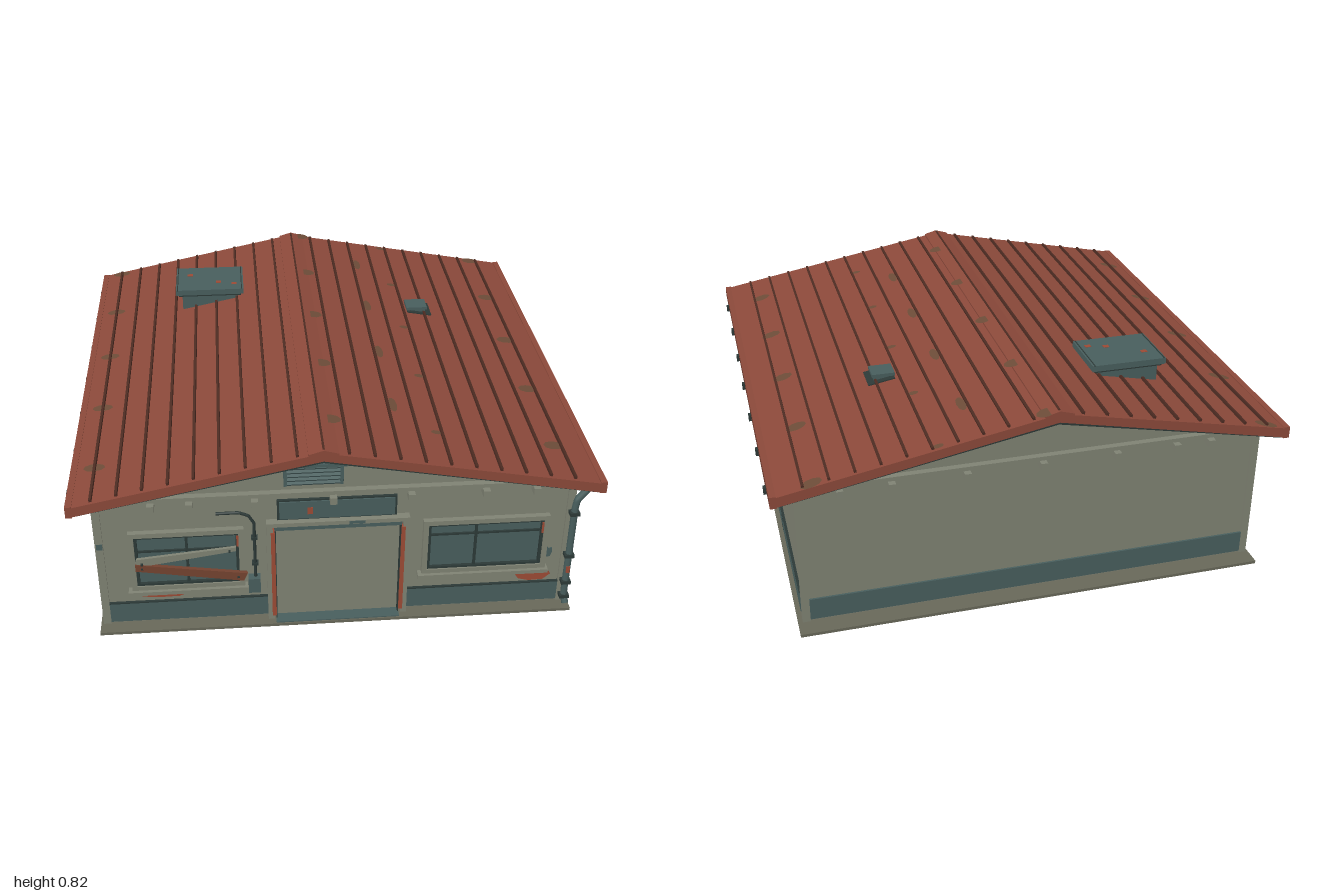
import * as THREE from 'three';

const mat = (name, color) => {
  const m = new THREE.MeshStandardMaterial({ color });
  m.name = name;
  return m;
};

export function createModel() {
  const wall = mat('plaster', 0x7f8273), teal = mat('teal paint', 0x485e5d), dark = mat('dark metal', 0x2c3937);
  const roofRed = mat('roof red', 0x8b493a), seamMat = mat('seam brown', 0x4c2b22), rust = mat('rust', 0x9c4a35);
  const moss = mat('moss stain', 0x6c4c38), wood = mat('old wood', 0x744330), concrete = mat('concrete', 0x686859);
  const model = new THREE.Group();
  model.name = 'building';

  const add = (name, geo, m, x = 0, y = 0, z = 0, parent = model) => {
    const mesh = new THREE.Mesh(geo, m);
    mesh.name = name;
    mesh.position.set(x, y, z);
    parent.add(mesh);
    return mesh;
  };
  // Box given by its lower and upper limits on each axis
  const box = (name, m, x0, x1, y0, y1, z0, z1, parent = model) =>
    add(name, new THREE.BoxGeometry(x1 - x0, y1 - y0, z1 - z0), m, (x0 + x1) / 2, (y0 + y1) / 2, (z0 + z1) / 2, parent);
  const poly = (pts) => new THREE.Shape(pts.map(([x, y]) => new THREE.Vector2(x, y)));
  const prism = (name, m, pts, z0, z1) =>
    add(name, new THREE.ExtrudeGeometry(poly(pts), { depth: z1 - z0, bevelEnabled: false }), m, 0, 0, z0);
  // Rectangular frame with an open middle
  const frame = (name, m, x0, x1, y0, y1, t, z0, z1) => {
    const s = poly([[x0, y0], [x1, y0], [x1, y1], [x0, y1]]);
    s.holes.push(poly([[x0 + t, y0 + t], [x0 + t, y1 - t], [x1 - t, y1 - t], [x1 - t, y0 + t]]));
    return add(name, new THREE.ExtrudeGeometry(s, { depth: z1 - z0, bevelEnabled: false }), m, 0, 0, z0);
  };

  // Roof slope: ridge sits a little to the right of the centre line
  const RX = -0.06, RY = 0.808, EX = 0.985, EY = 0.618;
  const roofY = (x) => RY - (RY - EY) * (x < RX ? (RX - x) / (RX + EX) : (x - RX) / (EX - RX));
  const tilt = (x) => (x < RX ? Math.atan((RY - EY) / (RX + EX)) : -Math.atan((RY - EY) / (EX - RX)));

  // Ground slab, walls with gables, corner posts and skirting
  box('groundSlab', concrete, -0.92, 0.92, 0, 0.012, -0.98, 0.96);
  prism('walls', wall, [[-0.9, 0.01], [0.895, 0.01], [0.895, roofY(0.895) - 0.03], [RX, RY - 0.03], [-0.9, roofY(-0.9) - 0.03]], -0.9, 0.9);
  for (const x of [-0.895, 0.888]) for (const z of [-0.893, 0.893])
    box('cornerPost', wall, x - 0.015, x + 0.015, 0.01, 0.6, z - 0.015, z + 0.015);
  for (const [x0, x1] of [[-0.88, -0.27], [0.265, 0.873]]) {
    box('frontSkirting', teal, x0, x1, 0.02, 0.11, 0.895, 0.908);
    box('frontSkirtingCap', dark, x0, x1, 0.108, 0.113, 0.895, 0.91);
  }
  box('backSkirting', teal, -0.88, 0.873, 0.02, 0.11, -0.908, -0.895);
  for (const [x, s] of [[0.895, 1], [-0.9, -1]]) {
    box('sideSkirting', teal, x - 0.008, x + 0.008, 0.02, 0.11, -0.85, 0.885);
    box('sideSkirtingCap', dark, x - 0.01, x + 0.01, 0.108, 0.112, -0.85, 0.885);
    for (const z of [-0.28, 0.3]) box('skirtingJoint', dark, x - 0.009, x + 0.009, 0.02, 0.11, z - 0.002, z + 0.002);
    for (const [y0, y1] of s > 0 ? [[0.44, 0.52], [0.25, 0.29], [0.12, 0.14]] : [])
      box('paintFlake', teal, x - 0.002, x + 0.002, y0, y1, -0.85, -0.832);
  }
  box('paintFlake', teal, 0.893, 0.897, 0.375, 0.4, 0.85, 0.878);

  // Gable tie beams with small brackets
  for (const s of [1, -1]) {
    const a = s * 0.895, b = s * 0.925;
    box('tieBeam', wall, -0.95, 0.95, 0.58, 0.604, Math.min(a, b), Math.max(a, b));
    for (const x of [-0.69, -0.55, -0.31, -0.02, 0.27, 0.55, 0.74])
      box('beamBracket', wall, x - 0.013, x + 0.013, 0.56, 0.588, s * 0.922 - 0.027, s * 0.922 + 0.027);
  }

  // Roof shell, ridge cap and standing seams
  const T = 0.034;
  prism('roof', roofRed, [[-EX, EY], [-EX, EY - T - 0.006], [RX, RY - T], [EX, EY - T - 0.006], [EX, EY], [RX, RY]], -0.985, 0.98);
  prism('ridgeCap', roofRed, [[-0.115, roofY(-0.115)], [RX, RY - 0.004], [-0.005, roofY(-0.005)], [-0.005, roofY(-0.005) + 0.007], [RX, RY + 0.012], [-0.115, roofY(-0.115) + 0.007]], -0.985, 0.98);
  box('ridgeSeam', seamMat, RX - 0.004, RX + 0.004, RY + 0.004, RY + 0.014, -0.975, 0.97);
  for (let i = 0; i < 20; i++) {
    const x = -0.898 + i * 0.0931;
    if (Math.abs(x - RX) < 0.03) continue;
    const seam = box('roofSeam', seamMat, x - 0.005, x + 0.005, roofY(x) - 0.003, roofY(x) + 0.01, -0.972, 0.967);
    seam.rotation.z = tilt(x);
  }
  // Rake trim under the roof edge, fascia, gutters and gutter clips
  for (const z of [-0.975, 0.958]) for (const [x0, x1] of [[-0.96, RX], [RX, 0.96]])
    prism('rakeTrim', dark, [[x0, roofY(x0) - 0.047], [x1, roofY(x1) - 0.047], [x1, roofY(x1) - 0.03], [x0, roofY(x0) - 0.03]], z, z + 0.012);
  for (const s of [-1, 1]) {
    const e = s * 0.978;
    box('fascia', roofRed, e - 0.012, e + 0.012, 0.578, 0.625, -0.985, 0.98);
    box('fasciaLine', seamMat, e - 0.013, e + 0.013, 0.6, 0.604, -0.984, 0.979);
    for (let i = 0; i < 7; i++) {
      const z = -0.85 + i * 0.28;
      box('gutterClip', dark, e - 0.022, e + 0.022, 0.564, 0.59, z - 0.011, z + 0.011);
    }
  }

  // Moss stains lying on the slopes
  const stain = (x, z, w, l, turn) => {
    const g = new THREE.CircleGeometry(1, 9).scale(w, l, 1).rotateZ(turn).rotateX(-Math.PI / 2);
    add('mossStain', g, moss, x, roofY(x) + (Math.abs(x) < 0.06 ? 0.009 : 0.002), z).rotation.z = tilt(x);
  };
  [-0.96, -0.54, -0.11, 0.32, 0.75].forEach((z) => {
    stain(-0.9, z, 0.045, 0.024, -0.3);
    stain(-0.015, z, 0.04, 0.03, 0.2);
    stain(0.84, z, 0.042, 0.028, 0.3);
    stain(0.385, z, 0.022, 0.014, 0);
  });
  [-0.72, -0.28, 0.15, 0.58].forEach((z) => stain(0.24, z, 0.018, 0.052, 0));

  // Roof hatch and small roof vent
  box('hatchBase', teal, -0.585, -0.335, 0.67, 0.785, -0.62, -0.42);
  box('hatchShadowGap', dark, -0.6, -0.32, 0.768, 0.778, -0.63, -0.41);
  box('hatchLid', teal, -0.612, -0.308, 0.778, 0.803, -0.64, -0.4);
  for (const x of [-0.605, -0.317]) box('hatchEdge', dark, x - 0.002, x + 0.002, 0.8, 0.805, -0.64, -0.4);
  for (const [x, z] of [[-0.42, -0.48], [-0.55, -0.56], [-0.35, -0.46]])
    box('rustSpot', rust, x - 0.012, x + 0.012, 0.8, 0.8045, z - 0.01, z + 0.01);
  box('ventFlashing', dark, 0.42, 0.53, 0.69, 0.715, -0.385, -0.265).rotation.z = tilt(0.47);
  box('ventStack', teal, 0.43, 0.505, 0.69, 0.728, -0.36, -0.285);
  box('ventCap', teal, 0.42, 0.512, 0.724, 0.737, -0.365, -0.28);

  // Doorway: panel, frame, rusty edges, lintel strip and tread plate
  box('doorPanel', wall, -0.24, 0.24, 0.012, 0.44, 0.895, 0.904);
  for (const s of [-1, 1]) {
    box('doorJamb', wall, s * 0.258 - 0.012, s * 0.258 + 0.012, 0.012, 0.47, 0.895, 0.93);
    box('doorRust', rust, s * 0.246 - 0.008, s * 0.246 + 0.008, 0.03, 0.43, 0.895, 0.932);
    box('doorEdge', dark, s * 0.237 - 0.002, s * 0.237 + 0.002, 0.012, 0.44, 0.895, 0.93);
  }
  box('doorHead', wall, -0.27, 0.27, 0.455, 0.472, 0.895, 0.932);
  box('doorHeadStrip', teal, -0.24, 0.24, 0.438, 0.456, 0.895, 0.93);
  box('treadPlate', teal, -0.24, 0.24, 0.01, 0.016, 0.905, 0.955);

  // Blank sign board with rust chips
  box('signBack', dark, -0.228, 0.22, 0.479, 0.567, 0.9, 0.918);
  box('signBoard', teal, -0.22, 0.212, 0.485, 0.561, 0.9, 0.923);
  box('signChip', rust, -0.115, -0.095, 0.505, 0.535, 0.92, 0.925);
  box('signStain', teal, 0.04, 0.1, 0.458, 0.47, 0.93, 0.934);

  // Louvred gable vent
  box('louvreBack', dark, -0.2, 0.02, 0.635, 0.72, 0.898, 0.906);
  box('louvreHood', teal, -0.21, 0.03, 0.715, 0.728, 0.898, 0.93);
  for (const x of [-0.196, 0.012]) box('louvreSide', teal, x - 0.006, x + 0.006, 0.632, 0.718, 0.898, 0.922);
  for (let i = 0; i < 5; i++) {
    const y = 0.64 + i * 0.017;
    box('louvreSlat', teal, -0.19, 0.008, y - 0.004, y + 0.004, 0.9, 0.92).rotation.x = 0.5;
  }
  box('louvreRust', rust, -0.205, 0.02, 0.712, 0.716, 0.9, 0.925);

  // Windows: surround, dark trim, glass, bars and sill
  const windowUnit = (x0, x1, y0, y1, barX, barY) => {
    frame('windowSurround', wall, x0 - 0.025, x1 + 0.025, y0 - 0.022, y1 + 0.022, 0.02, 0.895, 0.922);
    frame('windowTrim', dark, x0 - 0.006, x1 + 0.006, y0 - 0.005, y1 + 0.005, 0.012, 0.895, 0.916);
    box('windowGlass', teal, x0, x1, y0, y1, 0.895, 0.904);
    box('windowMullion', dark, barX - 0.005, barX + 0.005, y0, y1, 0.9, 0.912);
    box('windowTransom', dark, x0, x1, barY - 0.004, barY + 0.004, 0.9, 0.911);
    box('windowSill', wall, x0 - 0.04, x1 + 0.035, y0 - 0.036, y0 - 0.02, 0.895, 0.935);
    box('windowRust', rust, x1 - 0.003, x1 + 0.005, y1 - 0.06, y1 - 0.01, 0.9, 0.918);
  };
  windowUnit(-0.76, -0.38, 0.2, 0.425, -0.57, 0.355);
  windowUnit(0.35, 0.785, 0.212, 0.418, 0.53, 0.368);

  // Boards nailed over the right-hand window
  prism('paleBoard', wall, [[-0.77, 0.298], [-0.385, 0.355], [-0.385, 0.372], [-0.76, 0.335]], 0.92, 0.932);
  prism('brownBoard', wood, [[-0.765, 0.285], [-0.36, 0.215], [-0.345, 0.25], [-0.765, 0.315]], 0.922, 0.937);
  for (const [x, y] of [[-0.74, 0.295], [-0.38, 0.235], [-0.74, 0.315], [-0.41, 0.358]])
    box('nail', dark, x - 0.004, x + 0.004, y - 0.004, y + 0.004, 0.925, 0.94);

  // Conduit bent over to a junction box
  const tube = (name, m, pts, r) => {
    const path = new THREE.CurvePath(), v = pts.map((p) => new THREE.Vector3(...p));
    for (let i = 1; i < v.length; i++) path.add(new THREE.LineCurve3(v[i - 1], v[i]));
    return add(name, new THREE.TubeGeometry(path, 48, r, 8), m);
  };
  tube('conduit', dark, [[-0.455, 0.52, 0.915], [-0.37, 0.52, 0.915], [-0.335, 0.505, 0.915], [-0.315, 0.47, 0.915], [-0.315, 0.2, 0.915]], 0.006);
  box('junctionBox', teal, -0.343, -0.297, 0.152, 0.218, 0.895, 0.935);
  for (const y of [0.28, 0.4]) box('conduitClip', dark, -0.327, -0.303, y - 0.005, y + 0.005, 0.9, 0.923);

  // Downpipe on the front left corner
  tube('downpipe', teal, [[0.955, 0.585, 0.92], [0.935, 0.55, 0.92], [0.905, 0.51, 0.92], [0.9, 0.47, 0.92], [0.9, 0.05, 0.92], [0.905, 0.02, 0.935]], 0.014);
  for (const y of [0.05, 0.12, 0.25, 0.45]) box('pipeClip', dark, 0.88, 0.918, y - 0.007, y + 0.007, 0.9, 0.938);
  box('pipeRust', rust, 0.893, 0.907, 0.17, 0.2, 0.93, 0.936);

  // Bare brick patches where plaster has fallen off, and paint chips
  const patch = (name, m, cx, cy, w, h) => prism(name, m, [[-0.5, 0.1], [-0.4, -0.3], [-0.1, -0.5], [0.3, -0.45], [0.5, 0], [0.42, 0.4], [0.1, 0.3], [-0.2, 0.5]]
    .map(([x, y]) => [cx + x * w, cy + y * h]), 0.899, 0.904);
  patch('barePatch', rust, -0.67, 0.146, 0.2, 0.036);
  patch('barePatch', rust, 0.77, 0.145, 0.14, 0.055);
  patch('paintChip', teal, 0.795, 0.17, 0.06, 0.025);
  patch('paintChip', teal, 0.82, 0.255, 0.035, 0.05);
  box('cornerChip', teal, -0.905, -0.882, 0.373, 0.398, 0.9, 0.91);

  return model;
}
